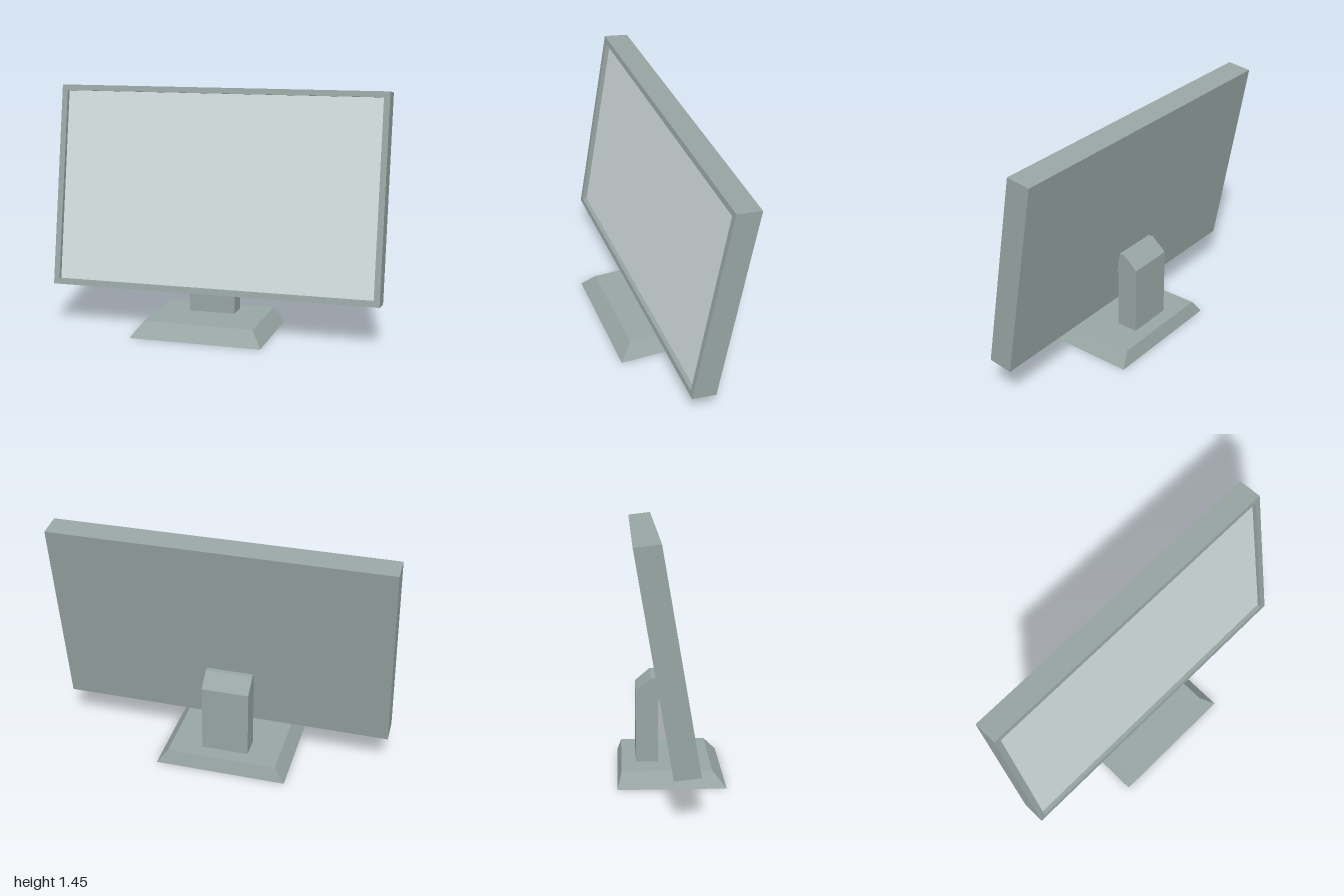
import * as THREE from 'three';

const bodyMat = new THREE.MeshStandardMaterial({ color: 0x97a5a3, flatShading: true });
const screenMat = new THREE.MeshStandardMaterial({ color: 0xd2dcdd, flatShading: true });

function part(name, geometry, material = bodyMat) {
  const mesh = new THREE.Mesh(geometry, material);
  mesh.name = name;
  return mesh;
}

// Side profile given as [z, y], extruded between two x positions
function sideExtrude(points, x0, x1) {
  const shape = new THREE.Shape(points.map(([z, y]) => new THREE.Vector2(-z, y)));
  const geo = new THREE.ExtrudeGeometry(shape, { depth: x1 - x0, bevelEnabled: false });
  return geo.rotateY(Math.PI / 2).translate(x0, 0, 0);
}

// Box whose top face is replaced by a smaller rectangle
function taperedBox(bottom, top, height) {
  const geo = new THREE.BoxGeometry(1, 1, 1);
  const p = geo.attributes.position;
  for (let i = 0; i < p.count; i++) {
    const up = p.getY(i) > 0;
    const [x0, x1, z0, z1] = up ? top : bottom;
    p.setXYZ(i, p.getX(i) > 0 ? x1 : x0, up ? height : 0, p.getZ(i) > 0 ? z1 : z0);
  }
  geo.computeVertexNormals();
  return geo;
}

function rectangle(path, x, y0, y1) {
  path.moveTo(-x, y0).lineTo(x, y0).lineTo(x, y1).lineTo(-x, y1).closePath();
  return path;
}

export function createModel() {
  const model = new THREE.Group();
  model.name = 'monitor';

  // Foot with sloping sides
  const base = taperedBox([-0.44, 0.354, -0.31, 0.31], [-0.376, 0.288, -0.285, 0.232], 0.088);
  model.add(part('base', base));

  // Upright neck, cut off at the top rear, and its mount behind the panel
  const neck = sideExtrude([
    [-0.07, 0.08], [-0.07, 0.455], [-0.052, 0.455], [-0.075, 0.587],
    [-0.11, 0.587], [-0.2, 0.511], [-0.2, 0.08],
  ], -0.188, 0.096);
  model.add(part('neck', neck));

  // Panel space: origin at the lower front edge, leaning back and slightly skewed
  const height = 1.2205, depth = 0.146, recess = 0.027, rim = 0.034;
  const lean = new THREE.Matrix4().makeBasis(
    new THREE.Vector3(1, 0, 0),
    new THREE.Vector3(0, 1.203, -0.204).normalize(),
    new THREE.Vector3(0, 0.017, 0.145).normalize(),
  ).setPosition(0, 0.247, 0.126);

  const panel = new THREE.Group();
  panel.name = 'panel';
  model.add(panel);

  // Closed rear housing
  const housing = new THREE.BoxGeometry(2, height, depth - recess)
    .translate(0, height / 2, -(depth + recess) / 2);
  panel.add(part('housing', housing.applyMatrix4(lean)));

  // Raised frame around the screen
  const outline = rectangle(new THREE.Shape(), 1, 0, height);
  outline.holes.push(rectangle(new THREE.Path(), 0.965, rim, height - rim));
  const frame = new THREE.ExtrudeGeometry(outline, { depth: recess, bevelEnabled: false })
    .translate(0, 0, -recess);
  panel.add(part('frame', frame.applyMatrix4(lean)));

  // Recessed screen
  const screen = new THREE.PlaneGeometry(1.93, height - 2 * rim)
    .translate(0, height / 2, -recess + 0.001);
  panel.add(part('screen', screen.applyMatrix4(lean), screenMat));

  return model;
}
